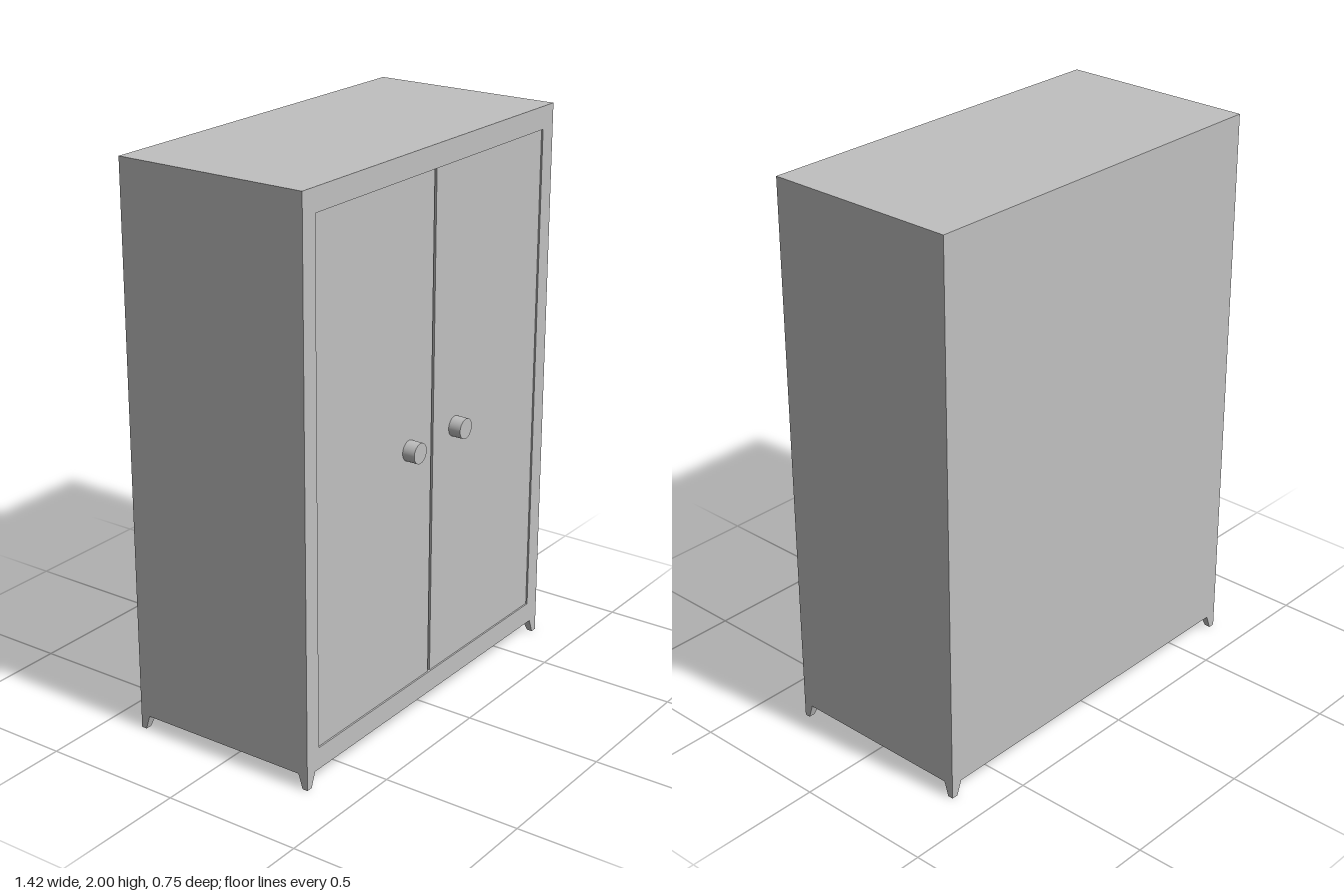
import * as THREE from 'three';

export function createModel() {
  const model = new THREE.Group();
  const grey = new THREE.MeshStandardMaterial({ color: 0xc0c0c0 });
  grey.name = 'light grey';

  const add = (name, geometry, x = 0, y = 0, z = 0) => {
    const mesh = new THREE.Mesh(geometry, grey);
    mesh.name = name;
    mesh.position.set(x, y, z);
    model.add(mesh);
    return mesh;
  };

  const halfW = 0.708, base = 0.052, top = 2, back = -0.375, front = 0.333;
  const doorBottom = 0.13, doorTop = 1.92, doorEdge = 0.645, gap = 0.006;

  // Cabinet shell: a rectangular sleeve, open at the front for the doors
  const outline = new THREE.Shape([
    new THREE.Vector2(-halfW, base), new THREE.Vector2(halfW, base),
    new THREE.Vector2(halfW, top), new THREE.Vector2(-halfW, top),
  ]);
  outline.holes.push(new THREE.Path([
    new THREE.Vector2(-doorEdge, doorBottom), new THREE.Vector2(-doorEdge, doorTop),
    new THREE.Vector2(doorEdge, doorTop), new THREE.Vector2(doorEdge, doorBottom),
  ]));
  const shell = new THREE.ExtrudeGeometry(outline, { depth: front - back, bevelEnabled: false });
  add('cabinetShell', shell, 0, 0, back);

  // Back panel closing the sleeve, flush with its rear face
  const doorH = doorTop - doorBottom, midY = (doorTop + doorBottom) / 2;
  add('backPanel', new THREE.BoxGeometry(doorEdge * 2, doorH, 0.03), 0, midY, back + 0.015);

  for (const side of [-1, 1]) {
    const label = side > 0 ? 'left' : 'right';

    // Door, set slightly back from the frame, with a narrow gap in the middle
    const doorW = doorEdge - gap;
    add(label + 'Door', new THREE.BoxGeometry(doorW, doorH, 0.03),
      side * (gap + doorW / 2), midY, front - 0.006 - 0.015);

    // Round door knob
    const knob = new THREE.CylinderGeometry(0.036, 0.036, 0.048, 32).rotateX(Math.PI / 2);
    add(label + 'Knob', knob, side * 0.136, 1, 0.349);

    // Corner feet: outer faces upright, inner faces tapering in
    for (const end of [-1, 1]) {
      const w = 0.042, d = 0.036, taper = 0.55;
      const foot = new THREE.BoxGeometry(w, base, d).translate(-side * w / 2, base / 2, -end * d / 2);
      const p = foot.attributes.position;
      for (let i = 0; i < p.count; i++) {
        if (p.getY(i) < base / 2) p.setXYZ(i, p.getX(i) * taper, 0, p.getZ(i) * taper);
      }
      foot.computeVertexNormals();
      add(label + (end > 0 ? 'Front' : 'Back') + 'Foot', foot,
        side * halfW, 0, end > 0 ? front : back);
    }
  }
  return model;
}
